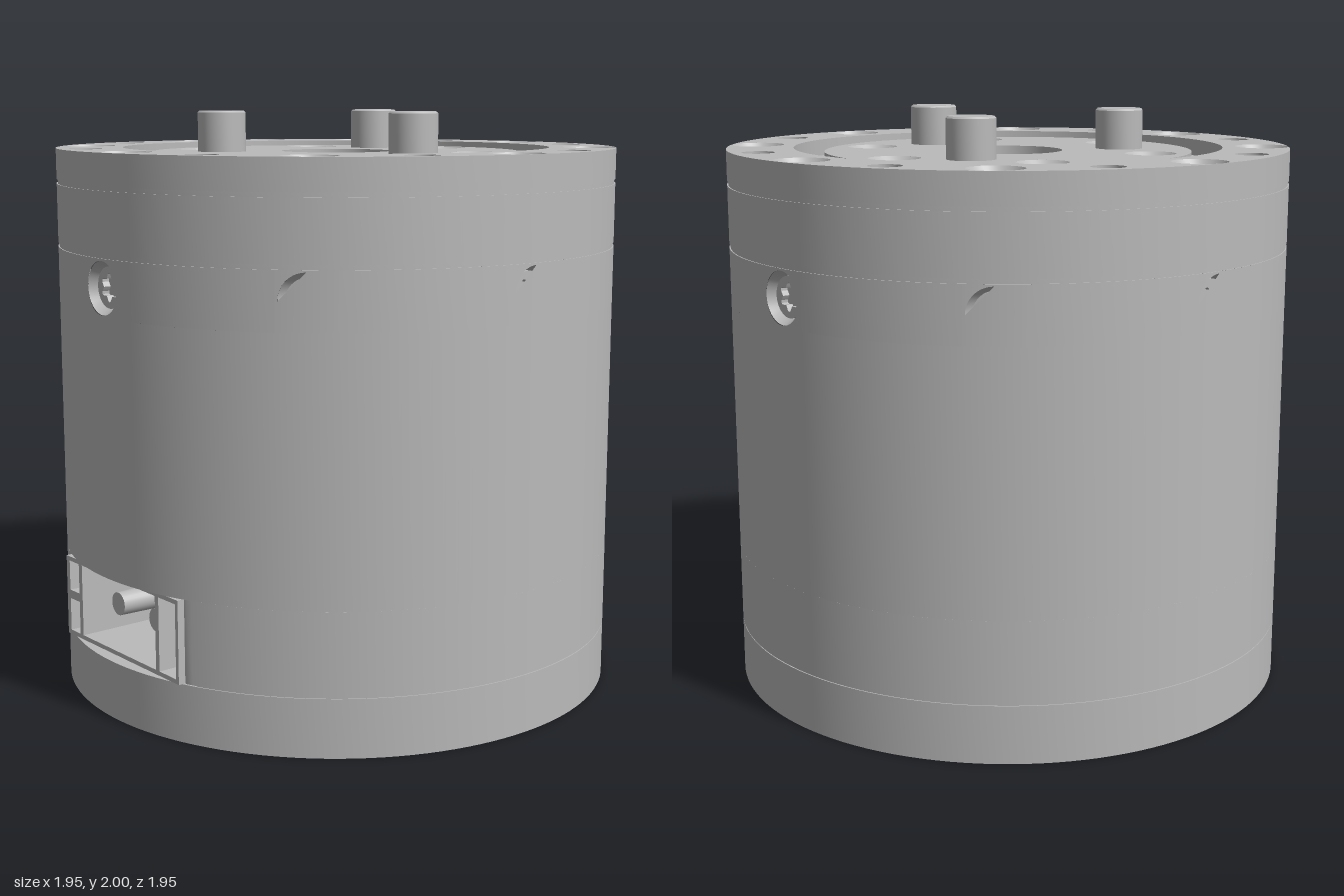
import * as THREE from 'three';
import { toCreasedNormals } from 'three/addons/utils/BufferGeometryUtils.js';

const R = 0.975;
const UP = new THREE.Vector3(0, 1, 0);

export function createModel() {
  const model = new THREE.Group();
  model.name = 'rotaryActuator';
  const metal = new THREE.MeshStandardMaterial({ color: 0xbababa });
  metal.name = 'grey metal';

  const part = (name, geometry, parent = model) => {
    const mesh = new THREE.Mesh(geometry, metal);
    mesh.name = name;
    parent.add(mesh);
    return mesh;
  };
  const lathe = (profile, segments = 128, start = 0, length = Math.PI * 2) =>
    toCreasedNormals(new THREE.LatheGeometry(
      profile.map(([r, y]) => new THREE.Vector2(r, y)), segments, start, length), 0.5);
  const circle = (x, y, r) => new THREE.Path().absarc(x, y, r, 0, Math.PI * 2, false);
  const disc = (r) => new THREE.Shape().absarc(0, 0, r, 0, Math.PI * 2, false);
  // Horizontal plate from y0 to y1; shape coordinates are (x, -z)
  const plate = (shape, y0, y1, curveSegments = 64) => {
    const g = new THREE.ExtrudeGeometry(shape, { depth: y1 - y0, bevelEnabled: false, curveSegments });
    g.rotateX(-Math.PI / 2);
    g.translate(0, y0, 0);
    return toCreasedNormals(g, 0.5);
  };
  // Evenly spaced points [x, z], azimuth measured from +z towards +x
  const ringOf = (count, r, offset) => Array.from({ length: count }, (_, i) => {
    const a = THREE.MathUtils.degToRad(offset + i * 360 / count);
    return [r * Math.sin(a), r * Math.cos(a)];
  });
  const cutHoles = (shape, points, r) => points.forEach(([x, z]) => shape.holes.push(circle(x, -z, r)));
  const place = (object, position, direction) => {
    object.position.copy(position);
    object.quaternion.setFromUnitVectors(UP, direction);
    model.add(object);
  };

  // Six-lobed countersunk screw with its seat, top at local y = 0
  const starPoints = Array.from({ length: 36 }, (_, i) => {
    const a = i / 36 * Math.PI * 2, r = 0.04 + 0.008 * Math.cos(6 * a);
    return new THREE.Vector2(r * Math.cos(a), r * Math.sin(a));
  });
  const headShape = disc(0.068);
  headShape.holes.push(new THREE.Path(starPoints));
  const headGeometry = plate(headShape, -0.06, -0.025, 24);
  const socketGeometry = new THREE.CircleGeometry(0.052, 24).rotateX(-Math.PI / 2).translate(0, -0.05, 0);
  const screw = (name, rim) => {
    const g = new THREE.Group();
    g.name = name;
    part('countersink', lathe([[rim, 0], [0.07, -0.035], [0.066, -0.04]], 40), g);
    part('screwHead', headGeometry, g);
    part('screwSocket', socketGeometry, g);
    return g;
  };
  const blindHole = (r, depth, chamfer) => lathe(
    [[r, 0], [r - chamfer, -chamfer], [r - chamfer, -depth], [0, -depth - r * 0.55]], 40);

  // Base plate with four screws and four dowel holes underneath
  const DOWN = new THREE.Vector3(0, -1, 0);
  const baseScrews = ringOf(4, 0.86, 54), baseHoles = ringOf(4, 0.82, 37);
  const base = disc(R);
  cutHoles(base, baseScrews, 0.09);
  cutHoles(base, baseHoles, 0.046);
  part('basePlate', plate(base, 0, 0.197));
  baseScrews.forEach(([x, z]) => place(screw('baseScrew', 0.09), new THREE.Vector3(x, 0, z), DOWN));
  baseHoles.forEach(([x, z]) => {
    const hole = part('baseDowelHole', blindHole(0.046, 0.08, 0));
    place(hole, new THREE.Vector3(x, 0, z), DOWN);
  });

  // Lower housing with the connector notch on the -x side
  const cut = Math.acos(0.91 / R);
  const lower = new THREE.Shape();
  lower.absarc(0, 0, R, -Math.PI + cut, Math.PI - cut, false);
  [[-0.91, 0.34], [-0.6, 0.34], [-0.6, -0.34], [-0.91, -0.34]].forEach(([x, y]) => lower.lineTo(x, y));
  part('lowerHousing', plate(lower, 0.2, 0.48, 128));

  // Connector shell, open towards -x
  const rect = (Type, z0, y0, z1, y1) => new Type(
    [[z0, y0], [z1, y0], [z1, y1], [z0, y1]].map(([z, y]) => new THREE.Vector2(z, y)));
  const shell = rect(THREE.Shape, -0.34, 0.2, 0.34, 0.48);
  shell.holes.push(rect(THREE.Path, -0.24, 0.215, 0.21, 0.465));
  shell.holes.push(rect(THREE.Path, 0.23, 0.215, 0.325, 0.465));
  shell.holes.push(rect(THREE.Path, -0.32, 0.36, -0.26, 0.465));
  shell.holes.push(rect(THREE.Path, -0.32, 0.215, -0.26, 0.33));
  const shellGeometry = new THREE.ExtrudeGeometry(shell, { depth: 0.335, bevelEnabled: false });
  shellGeometry.rotateY(-Math.PI / 2);
  part('connectorShell', shellGeometry).position.x = -0.6;
  for (const z of [-0.13, 0.1]) {
    const pin = part('connectorPin', new THREE.CylinderGeometry(0.04, 0.045, 0.26, 24));
    pin.rotation.z = Math.PI / 2;
    pin.position.set(-0.73, 0.34, z);
  }

  // Main housing, closed underneath to form the notch ceiling
  const y0 = 1.35, y1 = 1.54, yc = 1.445, half = 0.1;
  part('mainHousing', lathe([[0, 0.48], [R, 0.48], [R, y0]]));

  // Screw band: plain arcs between eight small curved patches with openings
  for (let i = 0; i < 8; i++) {
    const a = i * Math.PI / 4;
    part('housingBand', lathe([[R, y0], [R, y1]], 14, a + half, Math.PI / 4 - 2 * half));
    const open = i === 2 || i === 6;
    const w = half * R, outline = [];
    for (let k = 0; k <= 8; k++) outline.push(new THREE.Vector2(-w + k * w / 4, y0));
    for (let k = 8; k >= 0; k--) outline.push(new THREE.Vector2(-w + k * w / 4, y1));
    const patch = new THREE.Shape(outline);
    const opening = new THREE.Path();
    opening.absarc(0, yc, 0.088, open ? 0 : Math.PI / 2, open ? Math.PI * 2 : Math.PI, false);
    patch.holes.push(opening);
    const g = new THREE.ShapeGeometry(patch, 24);
    const p = g.attributes.position, n = g.attributes.normal;
    for (let k = 0; k < p.count; k++) {
      const t = a + p.getX(k) / R;
      p.setXYZ(k, R * Math.sin(t), p.getY(k), R * Math.cos(t));
      n.setXYZ(k, Math.sin(t), 0, Math.cos(t));
    }
    part('screwPatch', g);
    const out = new THREE.Vector3(Math.sin(a), 0, Math.cos(a));
    const at = out.clone().multiplyScalar(R - (open ? 0.004 : 0.008)).setY(yc);
    place(screw('sideScrew', 0.088), at, out);
  }

  // Upper housing with shallow seams
  const s = R - 0.004;
  part('upperHousing', lathe([[R, y1], [s, y1], [s, 1.555], [R, 1.555], [R, 1.755], [s, 1.755], [s, 1.77], [R, 1.77]]));
  part('baseSeam', lathe([[s, 0.19], [s, 0.21]], 128, -Math.PI / 2 + 0.4, Math.PI * 2 - 0.8));

  // Fixed top ring with eight screws and eight small holes
  const top = 1.875;
  const ring = disc(R);
  ring.holes.push(circle(0, 0, 0.745));
  const topScrews = ringOf(8, 0.883, 0);
  const topHoles = ringOf(8, 0.883, 22.5);
  cutHoles(ring, topScrews, 0.092);
  cutHoles(ring, topHoles, 0.055);
  part('topRing', plate(ring, 1.77, top));
  topScrews.forEach(([x, z]) => place(screw('topScrew', 0.092), new THREE.Vector3(x, top, z), UP));
  topHoles.forEach(([x, z]) => part('topRingHole', blindHole(0.055, 0.07, 0)).position.set(x, top, z));
  part('grooveFloor', lathe([[0.75, 1.79], [0.67, 1.79]]));

  // Output hub with six bolt holes, stepped rim and central recess
  const hubTop = 1.86;
  const hub = disc(0.64);
  hub.holes.push(circle(0, 0, 0.19));
  const hubHoles = ringOf(6, 0.51, 30);
  cutHoles(hub, hubHoles, 0.088);
  part('outputHub', plate(hub, 1.7, hubTop));
  part('hubRim', lathe([[0.68, 1.78], [0.68, 1.83], [0.63, 1.83]]));
  hubHoles.forEach(([x, z]) => part('hubBoltHole', blindHole(0.088, 0.1, 0.018)).position.set(x, hubTop, z));
  part('hubRecess', lathe([[0.19, hubTop], [0.19, 1.79], [0.12, 1.79], [0.12, 1.75], [0.105, 1.75],
    [0.105, 1.795], [0.095, 1.805], [0.085, 1.805], [0.085, 1.785], [0.03, 1.785], [0.03, 1.76], [0, 1.75]], 64));

  // Three drive pins
  ringOf(3, 0.403, 0).forEach(([x, z]) => {
    part('drivePin', lathe([[0.083, 1.8], [0.083, 1.994], [0.077, 2], [0, 2]], 40)).position.set(x, 0, z);
  });
  return model;
}
